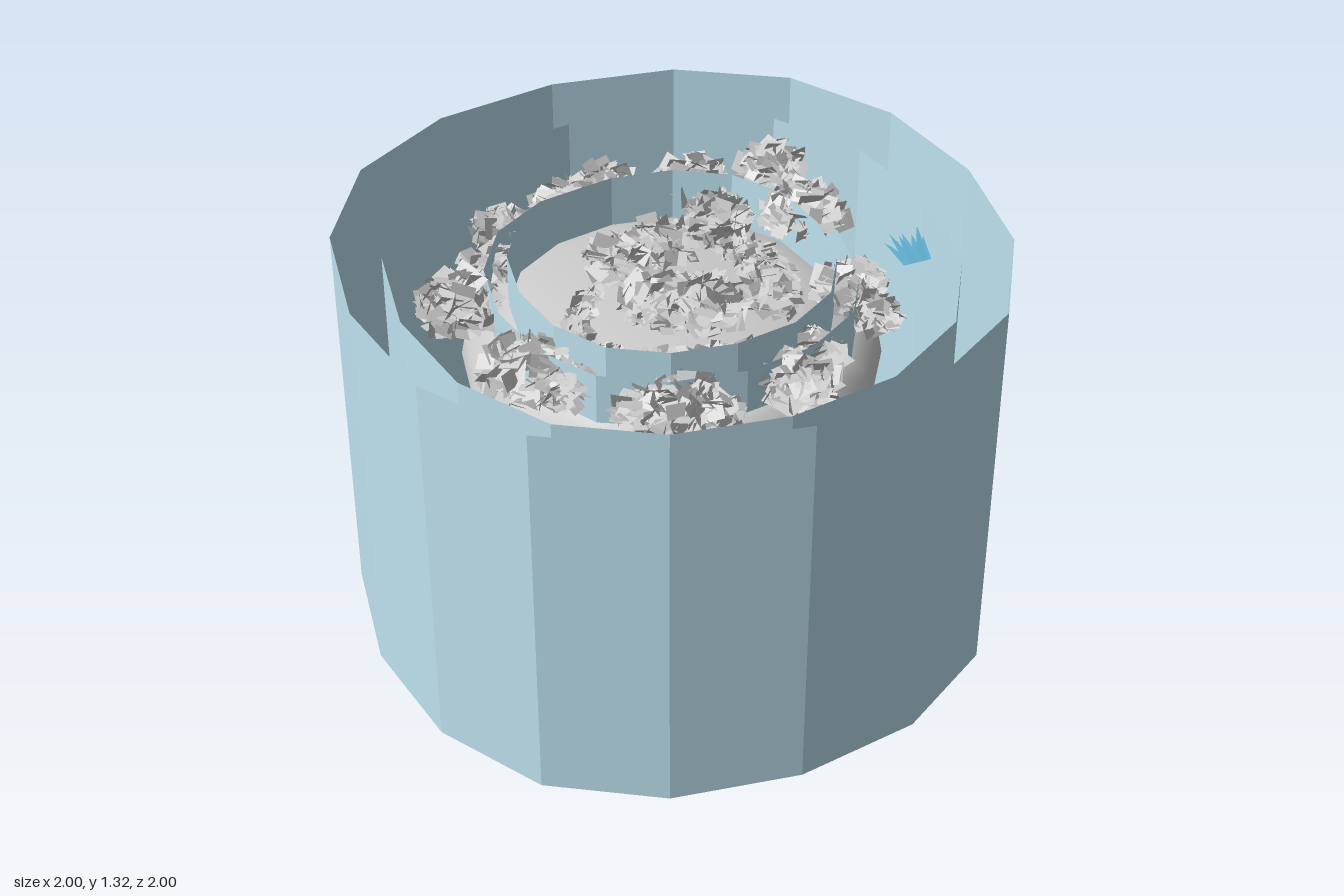
import * as THREE from 'three';
import { mergeGeometries } from 'three/addons/utils/BufferGeometryUtils.js';

// Seeded random numbers for the foliage
let seed = 7;
const rand = () => {
  seed = (seed * 16807) % 2147483647;
  return seed / 2147483647;
};
const spread = (a) => (rand() * 2 - 1) * a;

// One quarter of the sixteen-sided ring outline
const QUARTER = [[1, 0], [0.936, 0.404], [0.735, 0.735], [0.404, 0.936]];

// Open wall: the outline swept from y0 to y1
function wallGeometry(radius, y0, y1) {
  const ring = [];
  for (let q = 0; q < 4; q++) {
    const a = (q * Math.PI) / 2, c = Math.cos(a), s = Math.sin(a);
    for (const [x, z] of QUARTER) ring.push([radius * (x * c - z * s), radius * (x * s + z * c)]);
  }
  const pos = [], index = [];
  ring.forEach(([x, z], i) => {
    pos.push(x, y0, z, x, y1, z);
    const a = i * 2, b = ((i + 1) % ring.length) * 2;
    index.push(a, a + 1, b, b, a + 1, b + 1);
  });
  const g = new THREE.BufferGeometry();
  g.setAttribute('position', new THREE.Float32BufferAttribute(pos, 3));
  g.setIndex(index);
  g.computeVertexNormals();
  return g;
}

// A flat leaf with a random tilt
function leaf(x, y, z, size) {
  const g = new THREE.PlaneGeometry(size * (0.7 + rand() * 0.6), size * (0.7 + rand() * 0.5));
  g.rotateX(rand() * Math.PI);
  g.rotateY(rand() * Math.PI * 2);
  g.rotateZ(spread(0.5));
  return g.translate(x, y, z);
}

// Rounded clump of leaves, flattened a little
function bushGeometry(x, y, z, r) {
  const leaves = [];
  const count = Math.round(6500 * r * r);
  for (let i = 0; i < count; i++) {
    const up = rand() * 1.5 - 0.5, a = rand() * Math.PI * 2;
    const d = (r - 0.025) * (0.7 + rand() * 0.3), flat = Math.sqrt(1 - up * up);
    leaves.push(leaf(x + d * flat * Math.cos(a), y + d * up * 0.75, z + d * flat * Math.sin(a), 0.058));
  }
  return mergeGeometries(leaves);
}

// Band of small leaves following a curve
function hedgeGeometry(points, width, count) {
  const curve = new THREE.CatmullRomCurve3(points.map((p) => new THREE.Vector3(...p)));
  const leaves = [];
  for (let i = 0; i < count; i++) {
    const p = curve.getPoint(i / (count - 1));
    leaves.push(leaf(p.x + spread(width), p.y + spread(0.025), p.z + spread(width), 0.034));
  }
  return mergeGeometries(leaves);
}

export function createModel() {
  seed = 7;
  const model = new THREE.Group();
  const water = new THREE.MeshStandardMaterial({ color: 0xbfe3f1, side: THREE.DoubleSide, flatShading: true });
  const blue = new THREE.MeshStandardMaterial({ color: 0x62b4d6, side: THREE.DoubleSide, flatShading: true });
  const grey = new THREE.MeshStandardMaterial({ color: 0xcccccc });
  const foliage = new THREE.MeshStandardMaterial({ color: 0xcccccc, side: THREE.DoubleSide, flatShading: true });

  const add = (name, geometry, material) => {
    const mesh = new THREE.Mesh(geometry, material);
    mesh.name = name;
    model.add(mesh);
    return mesh;
  };

  // Nested open walls
  add('outerWall', wallGeometry(1, 0, 1.315), water);
  add('middleWall', wallGeometry(0.853, 0.35, 1.245), water);
  add('innerWall', wallGeometry(0.555, 0.44, 1.2), water);
  add('coreWall', wallGeometry(0.485, 0.41, 1.25), water);

  // Domed ground
  const dome = [[0.645, 0.9], [0.63, 0.98], [0.56, 1.05], [0.42, 1.1], [0.22, 1.13], [0, 1.14]];
  add('ground', new THREE.LatheGeometry(dome.map(([r, y]) => new THREE.Vector2(r, y)), 16), grey);

  // Bushes around the rim and in the middle: x, y, z, radius
  const rimBushes = [
    [-0.09, 1.08, -0.61, 0.14], [0.04, 1.09, -0.64, 0.14], [-0.35, 1.11, -0.53, 0.12],
    [-0.45, 1.1, -0.38, 0.1], [-0.61, 1.11, -0.19, 0.15], [-0.55, 1.12, 0.21, 0.15],
    [-0.47, 1.12, 0.33, 0.1], [-0.19, 1.12, 0.6, 0.16], [-0.31, 1.12, 0.53, 0.11],
    [0.15, 1.12, 0.57, 0.13], [0.24, 1.12, 0.46, 0.12], [0.5, 1.13, 0.2, 0.13],
    [0.5, 1.12, 0.34, 0.1], [0.52, 1.18, -0.16, 0.145], [0.53, 1.19, -0.44, 0.12],
    [0.29, 1.14, -0.52, 0.13], [0.36, 1.14, -0.39, 0.1],
  ];
  const centreBushes = [
    [-0.11, 1.16, -0.16, 0.12], [0.05, 1.16, -0.19, 0.12], [0.26, 1.17, -0.24, 0.12],
    [-0.07, 1.17, 0.1, 0.14], [0.04, 1.18, 0.18, 0.13], [0.23, 1.18, 0.2, 0.1],
  ];
  add('rimBushes', mergeGeometries(rimBushes.map((b) => bushGeometry(...b))), foliage);
  add('centreBushes', mergeGeometries(centreBushes.map((b) => bushGeometry(...b))), foliage);

  // Low curved hedges
  add('longHedge', hedgeGeometry([
    [-0.23, 1.14, -0.06], [-0.32, 1.13, 0.04], [-0.34, 1.13, 0.18],
    [-0.24, 1.13, 0.29], [-0.06, 1.13, 0.35], [0.15, 1.13, 0.38],
  ], 0.028, 330), foliage);
  add('shortHedge', hedgeGeometry([
    [0.26, 1.16, -0.11], [0.29, 1.16, 0], [0.31, 1.15, 0.1], [0.25, 1.16, 0.23],
  ], 0.055, 330), foliage);

  // Small tuft of pointed blades fanned out over the water
  const blades = [];
  for (let i = 0; i < 7; i++) {
    const t = i / 3 - 1;
    const s = new THREE.Shape();
    s.moveTo(-0.012, 0);
    s.quadraticCurveTo(-0.016 + t * 0.01, 0.06, t * 0.035, 0.1 + 0.02 * (i % 2));
    s.quadraticCurveTo(0.016 + t * 0.01, 0.05, 0.012, 0);
    const g = new THREE.ShapeGeometry(s, 4);
    g.rotateX(-Math.PI / 2 + 0.35 + 0.1 * (i % 3));
    blades.push(g.translate(0.79 + t * 0.035, 1.08, 0.09));
  }
  add('grassTuft', mergeGeometries(blades), blue);

  return model;
}
